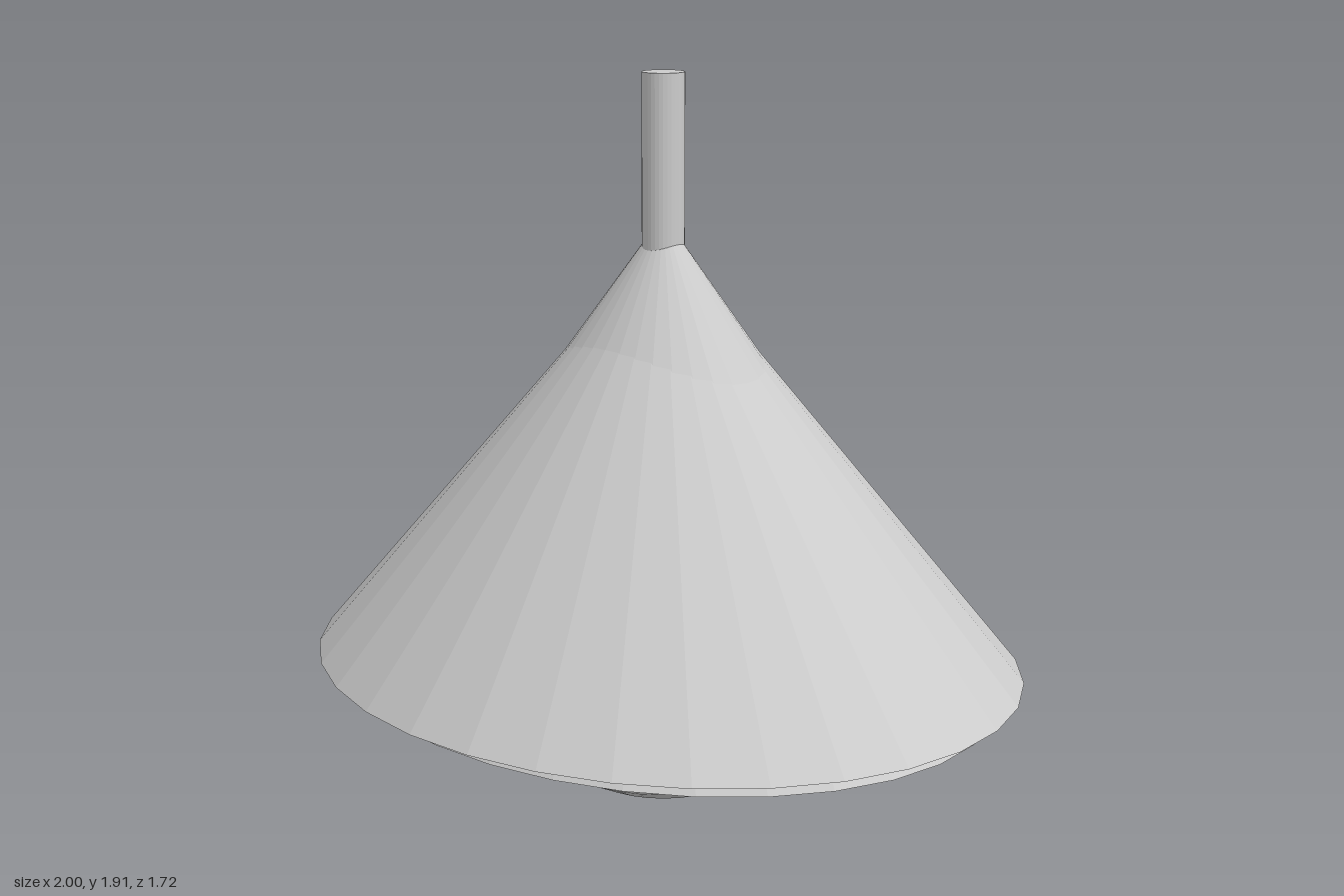
import * as THREE from 'three';

const SIDES = 32;

export function createModel() {
  const group = new THREE.Group();
  const solid = new THREE.MeshStandardMaterial({ color: 0xcccccc, flatShading: true });
  const sheet = new THREE.MeshStandardMaterial({ color: 0xcccccc, flatShading: true, side: THREE.DoubleSide });

  const add = (name, geometry, material, y) => {
    const mesh = new THREE.Mesh(geometry, material);
    mesh.name = name;
    mesh.position.y = y;
    group.add(mesh);
  };

  // Open oval cone standing on its rim
  const shade = (name, rimX, rimZ, rimY, tipY) => {
    const height = tipY - rimY;
    const cone = new THREE.ConeGeometry(1, height, SIDES, 1, true);
    cone.scale(rimX, 1, rimZ);
    add(name, cone, sheet, rimY + height / 2);
  };

  // Two nested shades: the steeper inner one emerges near the tip
  shade('outerShade', 1, 0.86, 0.38, 1.495);
  shade('innerShade', 0.94, 0.78, 0.33, 1.55);

  // Round bulb hanging below the rims
  add('bulb', new THREE.SphereGeometry(0.55, SIDES, SIDES / 2), solid, 0.55);

  // Hanging rod from the bulb up through the tip
  const rodTop = 1.91, rodBottom = 1.1;
  add('rod', new THREE.CylinderGeometry(0.055, 0.055, rodTop - rodBottom, SIDES), solid, (rodTop + rodBottom) / 2);

  return group;
}
